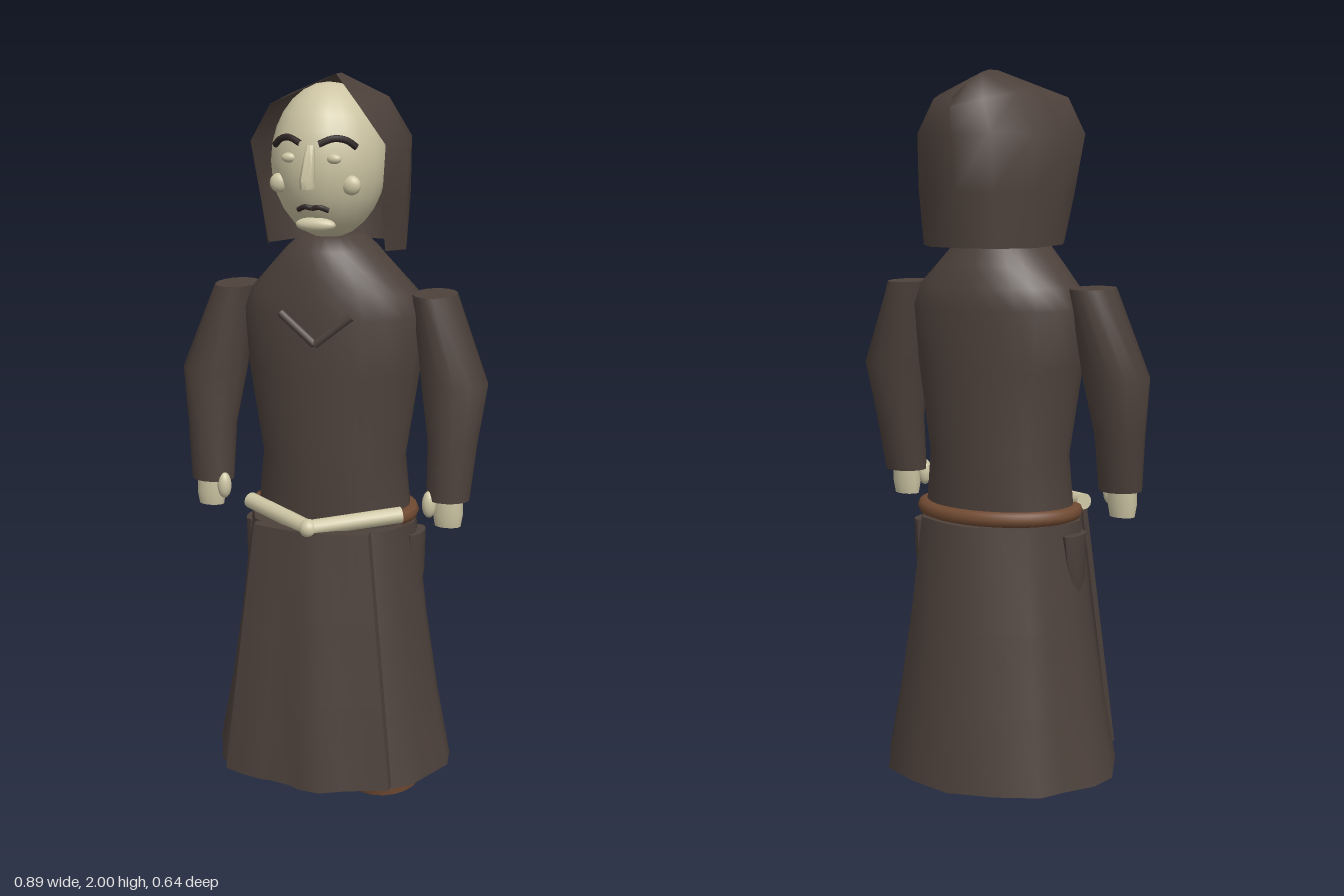
import * as THREE from 'three';
import { toCreasedNormals } from 'three/addons/utils/BufferGeometryUtils.js';

const mat = (name, color, side = THREE.FrontSide) => {
  const m = new THREE.MeshStandardMaterial({ color, side });
  m.name = name;
  return m;
};
const V = (x, y, z) => new THREE.Vector3(x, y, z);
const lerp = THREE.MathUtils.lerp;

function build(points, index, crease = 0.8) {
  const g = new THREE.BufferGeometry().setFromPoints(points);
  g.setIndex(index);
  return toCreasedNormals(g.toNonIndexed(), crease);
}

// Closed solid through loops of points, bottom to top (each runs +x, +z, -x, -z)
function loft(loops) {
  const n = loops[0].length, pts = loops.flat(), idx = [];
  for (let i = 0; i < loops.length - 1; i++) {
    for (let j = 0; j < n; j++) {
      const k = (j + 1) % n, a = i * n + j, b = i * n + k;
      idx.push(a, a + n, b + n, a, b + n, b);
    }
  }
  const cap = (start, up) => {
    const c = V(0, 0, 0);
    for (let j = 0; j < n; j++) c.addScaledVector(pts[start + j], 1 / n);
    pts.push(c);
    for (let j = 0; j < n; j++) {
      const p = start + j, q = start + (j + 1) % n;
      idx.push(pts.length - 1, ...(up ? [q, p] : [p, q]));
    }
  };
  cap(0, false);
  cap((loops.length - 1) * n, true);
  return build(pts, idx);
}

// Level ellipse loop
function ring(y, cx, cz, rx, rz, n = 18) {
  return Array.from({ length: n }, (_, j) => {
    const t = j / n * Math.PI * 2;
    return V(cx + rx * Math.cos(t), y, cz + rz * Math.sin(t));
  });
}

export function createModel() {
  const robe = mat('dark robe cloth', 0x4d413b);
  const hoodCloth = robe.clone();
  hoodCloth.side = THREE.DoubleSide;
  const skin = mat('pale skin', 0xcdc5a4);
  const leather = mat('brown leather', 0x704a32);
  const hair = mat('dark hair', 0x2f2725);

  const root = new THREE.Group();
  const add = (name, geo, m) => {
    const mesh = new THREE.Mesh(geo, m);
    mesh.name = name;
    root.add(mesh);
    return mesh;
  };
  const ball = (name, m, x, y, z, rx, ry, rz) => {
    const b = add(name, new THREE.SphereGeometry(1, 20, 14), m);
    b.position.set(x, y, z);
    b.scale.set(rx, ry, rz);
    return b;
  };
  const tube = (name, m, pts, r, seg = 12) =>
    add(name, new THREE.TubeGeometry(new THREE.CatmullRomCurve3(pts), seg, r, 8), m);
  const rod = (name, m, a, b, r) => {
    const c = add(name, new THREE.CylinderGeometry(r, r, a.distanceTo(b), 12), m);
    c.position.copy(a).lerp(b, 0.5);
    c.quaternion.setFromUnitVectors(V(0, 1, 0), b.clone().sub(a).normalize());
    return c;
  };

  // Torso: y, half width, front z, back z
  add('torso', loft([
    [0.76, 0.225, 0.135, -0.178], [0.95, 0.205, 0.142, -0.183], [1.2, 0.245, 0.152, -0.19],
    [1.36, 0.258, 0.152, -0.195], [1.42, 0.235, 0.147, -0.192], [1.48, 0.18, 0.138, -0.165],
    [1.54, 0.125, 0.122, -0.135], [1.575, 0.085, 0.08, -0.1],
  ].map(([y, w, f, b]) => ring(y, 0, (f + b) / 2, w, (f - b) / 2, 24))), robe);

  // Skirt: half outline of the hem, narrowed towards the waist
  const hem = [[0.35, 0], [0.305, 0.11], [0.285, 0.16], [0.235, 0.2], [0.12, 0.25], [0, 0.275]];
  const hemBack = [[0, -0.323], [0.13, -0.29], [0.245, -0.235], [0.28, -0.17], [0.335, -0.085]];
  const flip = (list) => list.map(([x, z]) => [-x, z]).reverse();
  const outline = [...hem, ...flip(hem).slice(1), ...flip(hemBack).slice(0, -1), ...hemBack];
  add('skirt', loft([[0.04, 1, 1, 1], [0.25, 0.885, 0.89, 0.91], [0.48, 0.785, 0.79, 0.82], [0.77, 0.69, 0.66, 0.7]]
    .map(([y, sx, sf, sb]) => outline.map(([x, z]) => V(x * sx, y, z * (z > 0 ? sf : sb))))), robe);

  // Front panel with soft folds that flatten out upwards
  const folds = [0.242, 0.262, 0.286, 0.318, 0.312, 0.28, 0.283, 0.27, 0.245];
  const panelLoop = (t) => {
    const y = lerp(0.055, 0.785, t), w = lerp(0.242, 0.165, t);
    const front = folds.map((z, i) => V(w * (1 - i / 4), y, lerp(z, 0.2 + 0.03 * (1 - ((i - 4) / 4) ** 2), t)));
    const back = front.map((p) => V(p.x, p.y, p.z - 0.03)).reverse();
    return [...front, ...back];
  };
  add('frontPanel', loft([0, 0.33, 0.66, 1].map(panelLoop)), robe);

  // Belt round the back and pale cord meeting at the front
  const beltPts = Array.from({ length: 17 }, (_, i) => {
    const t = lerp(-0.4, Math.PI + 0.4, i / 16);
    return V(0.222 * Math.cos(t), 0.79, -0.02 - 0.172 * Math.sin(t));
  });
  tube('belt', leather, beltPts, 0.022, 40);
  const knot = V(0, 0.793, 0.215);
  ball('cordKnot', skin, knot.x, knot.y, knot.z, 0.026, 0.026, 0.026);

  // Chin, skull and face
  const headC = V(0, 1.775, 0.03), headR = V(0.155, 0.208, 0.165);
  ball('head', skin, headC.x, headC.y, headC.z, headR.x, headR.y, headR.z);
  const faceZ = (x, y) => headC.z + headR.z
    * Math.sqrt(Math.max(0, 1 - (x / headR.x) ** 2 - ((y - headC.y) / headR.y) ** 2));
  const onFace = (x, y, lift = 0.004) => V(x, y, faceZ(x, y) + lift);
  ball('lowerLip', skin, 0, 1.617, faceZ(0, 1.617) + 0.008, 0.056, 0.02, 0.022);
  add('nose', loft([
    ring(1.72, 0, 0.21, 0.019, 0.032, 10), ring(1.745, 0, 0.215, 0.019, 0.032, 10),
    ring(1.83, 0, 0.185, 0.012, 0.015, 10),
  ]), skin);

  for (const s of [1, -1]) {
    const side = s > 0 ? 'left' : 'right';
    ball(side + 'Cheek', skin, s * 0.1, 1.725, faceZ(0.1, 1.725), 0.026, 0.026, 0.018);
    ball(side + 'Eye', skin, s * 0.062, 1.795, faceZ(0.062, 1.795), 0.02, 0.013, 0.012);
    tube(side + 'Brow', hair, [[0.024, 1.833], [0.06, 1.847], [0.09, 1.842], [0.112, 1.824]]
      .map(([x, y]) => onFace(s * x, y, 0.007)), 0.009);
    tube(side + 'Moustache', hair, [onFace(0, 1.664), onFace(s * 0.02, 1.667), onFace(s * 0.042, 1.658)], 0.007);

    // Chest chevron
    rod(side + 'ChestFold', robe, V(s * 0.1, 1.375, 0.148), V(0, 1.295, 0.158), 0.011);

    // Cord
    rod(side + 'Cord', skin, V(s * 0.222, 0.81, 0.07), knot, 0.023);

    // Sleeve: y, centre x, centre z, half width, half depth
    add(side + 'Sleeve', loft([
      [0.86, 0.347, 0.04, 0.061, 0.054], [1.02, 0.353, 0.02, 0.07, 0.068],
      [1.18, 0.35, -0.002, 0.094, 0.083], [1.42, 0.287, -0.02, 0.06, 0.085],
    ].map(([y, x, z, w, d]) => ring(y, s * x, z, w, d, 14))), robe);

    // Hand and thumb
    add(side + 'Hand', loft([
      [0.785, 0.35, 0.048, 0.037, 0.026], [0.82, 0.35, 0.048, 0.043, 0.032], [0.87, 0.35, 0.045, 0.042, 0.034],
    ].map(([y, x, z, w, d]) => ring(y, s * x, z, w, d, 12))), skin);
    ball(side + 'Thumb', skin, s * 0.302, 0.848, 0.07, 0.02, 0.038, 0.02);

    // Hip pocket
    add(side + 'Pocket', loft([
      ring(0.56, s * 0.245, -0.02, 0.012, 0.018, 12), ring(0.62, s * 0.242, -0.025, 0.022, 0.042, 12),
      ring(0.738, s * 0.238, -0.025, 0.027, 0.055, 12),
    ]), robe);

    // Shoe
    add(side + 'Shoe', loft([
      ring(0, s * 0.175, 0.05, 0.1, 0.125, 20), ring(0.045, s * 0.175, 0.05, 0.1, 0.135, 20),
    ]), leather);
  }

  // Hood: half arcs from the bottom edge up to the ridge, front to back
  const arcs = [
    [[0.165, 1.54, 0.05], [0.168, 1.66, 0.1], [0.187, 1.83, 0.13], [0.122, 1.93, 0.155], [0, 2, -0.03]],
    [[0.2, 1.535, -0.03], [0.2, 1.68, -0.03], [0.2, 1.83, -0.03], [0.135, 1.945, -0.05], [0, 2, -0.08]],
    [[0.172, 1.53, -0.14], [0.178, 1.68, -0.155], [0.178, 1.83, -0.16], [0.118, 1.935, -0.14], [0, 1.992, -0.12]],
    [[0.1, 1.53, -0.222], [0.1, 1.68, -0.24], [0.1, 1.83, -0.255], [0.075, 1.92, -0.245], [0, 1.96, -0.2]],
    [[0, 1.53, -0.24], [0, 1.68, -0.265], [0, 1.83, -0.285], [0, 1.9, -0.288], [0, 1.925, -0.275]],
  ];
  const pts = arcs.flatMap((a) => [...a, ...a.slice(0, 4).reverse().map(([x, y, z]) => [-x, y, z])])
    .map((p) => V(...p));
  const idx = [];
  for (let i = 0; i < 4; i++) {
    for (let j = 0; j < 8; j++) {
      const a = i * 9 + j, b = a + 9;
      idx.push(a, b, b + 1, a, b + 1, a + 1);
    }
  }
  add('hood', build(pts, idx, 1.2), hoodCloth);

  return root;
}
